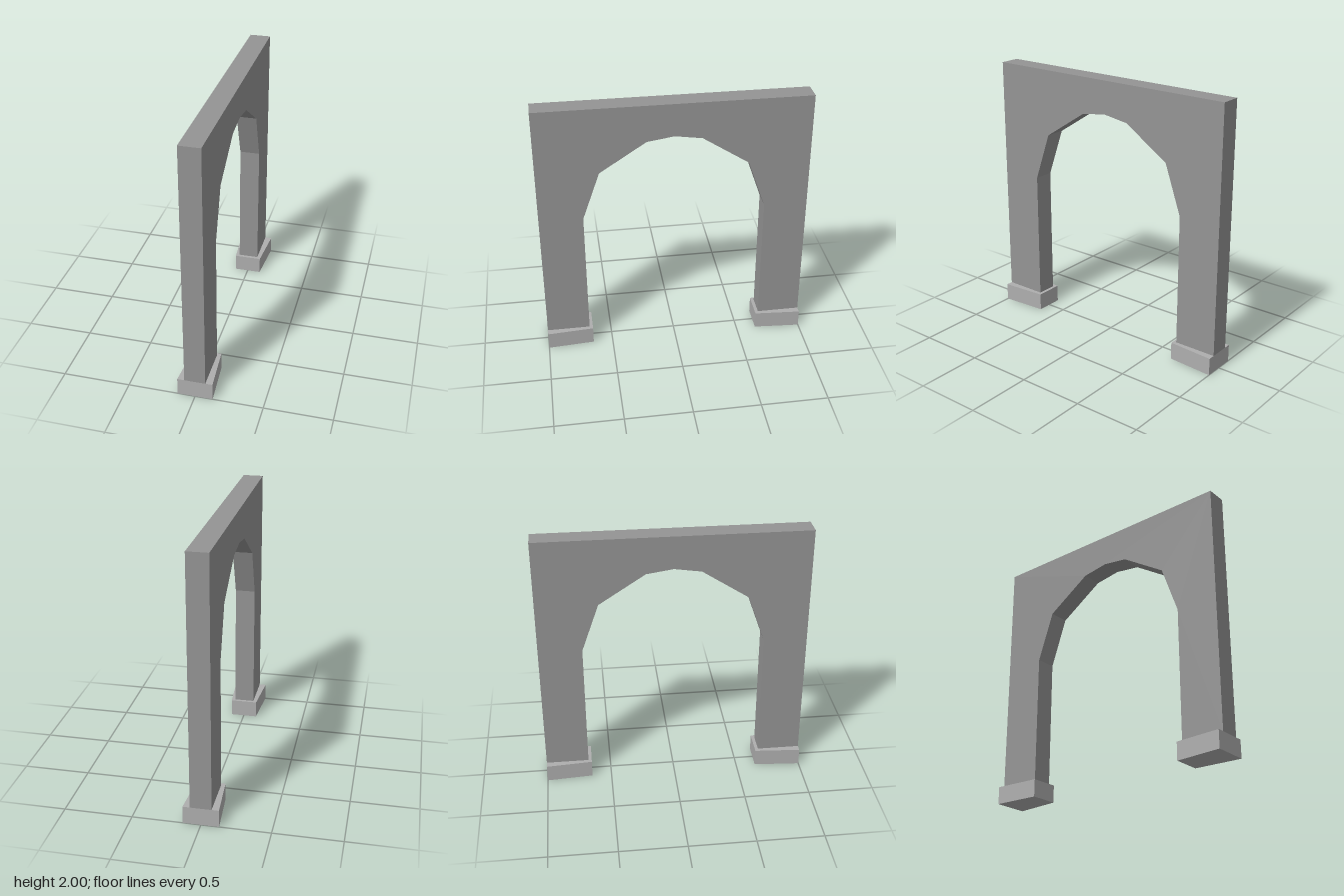
import * as THREE from 'three';

const HALF_SPAN = 1, HEIGHT = 2, THICKNESS = 0.155;
const PLINTH_HEIGHT = 0.133, PLINTH_INNER = 0.65;

// One half of the opening, from the plinth up to just before the crown
const ARCH_SIDE = [[0.675, PLINTH_HEIGHT], [0.675, 1.127], [0.545, 1.497], [0.2, 1.722]];
const CROWN = [0, 1.752];

function extrude(points, depth) {
  const shape = new THREE.Shape(points.map(([x, y]) => new THREE.Vector2(x, y)));
  return new THREE.ExtrudeGeometry(shape, { depth, bevelEnabled: false });
}

function stone(color) {
  const material = new THREE.MeshStandardMaterial({ flatShading: true });
  material.color.set(color);
  return material;
}

export function createModel() {
  const group = new THREE.Group();
  group.name = 'archway';

  // Wall with a faceted arch opening, drawn in z/y and extruded across x
  const outline = [
    [HALF_SPAN, PLINTH_HEIGHT], [HALF_SPAN, HEIGHT],
    [-HALF_SPAN, HEIGHT], [-HALF_SPAN, PLINTH_HEIGHT],
    ...ARCH_SIDE.map(([z, y]) => [-z, y]), CROWN, ...ARCH_SIDE.toReversed(),
  ];
  const wallGeometry = extrude(outline, THICKNESS);
  wallGeometry.translate(0, 0, -THICKNESS / 2);
  wallGeometry.rotateY(-Math.PI / 2);
  const wall = new THREE.Mesh(wallGeometry, stone(0x949494));
  wall.name = 'archWall';
  group.add(wall);

  // Lighter plinths that flare towards the outer ends
  const plan = [
    [-0.13, -HALF_SPAN], [0.13, -HALF_SPAN],
    [0.105, -PLINTH_INNER], [-0.105, -PLINTH_INNER],
  ];
  const plinthGeometry = extrude(plan, PLINTH_HEIGHT);
  plinthGeometry.rotateX(-Math.PI / 2);
  const plinthMaterial = stone(0xaeaeae);
  for (const [name, turn] of [['frontPlinth', 0], ['backPlinth', Math.PI]]) {
    const plinth = new THREE.Mesh(plinthGeometry, plinthMaterial);
    plinth.name = name;
    plinth.rotation.y = turn;
    group.add(plinth);
  }

  return group;
}
